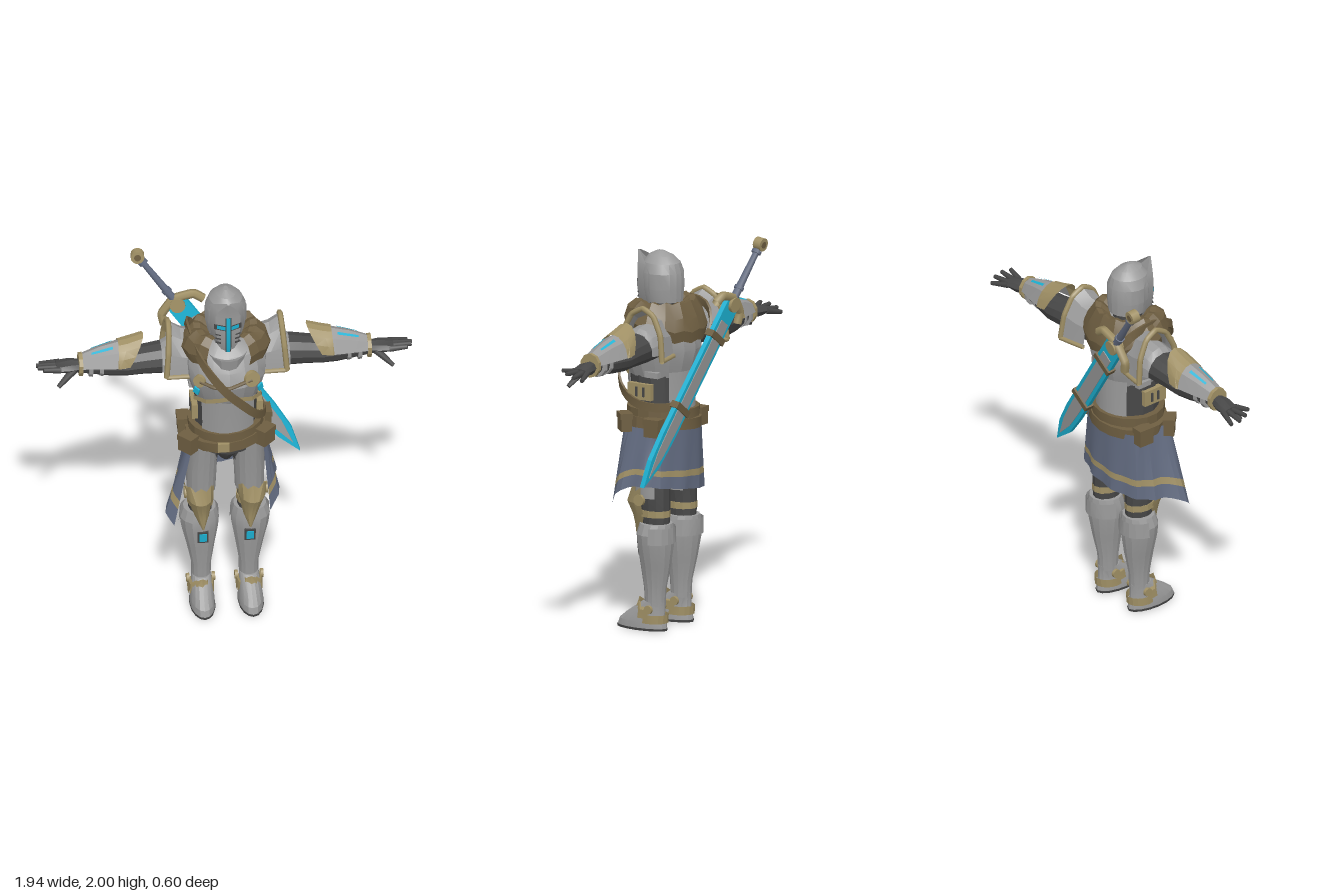
import * as THREE from 'three';
import { toCreasedNormals } from 'three/addons/utils/BufferGeometryUtils.js';

const paint = (name, color) => Object.assign(new THREE.MeshStandardMaterial({ color, side: THREE.DoubleSide }), { name });
const steel = paint('steel', 0x9a9a9a), dark = paint('darkSuit', 0x474747), gold = paint('gold', 0xa09065);
const leather = paint('leather', 0x6e5e41), cloth = paint('cloth', 0x626b80), glow = paint('glow', 0x1cb2d4);
const V = (x, y, z) => new THREE.Vector3(x, y, z);

function add(parent, name, mat, geo, pos = [0, 0, 0], rot = [0, 0, 0]) {
  const m = new THREE.Mesh(geo, mat);
  m.name = name;
  m.position.set(...pos);
  m.rotation.set(...rot);
  parent.add(m);
  return m;
}
const box = (g, name, mat, size, pos, rot) => add(g, name, mat, new THREE.BoxGeometry(...size), pos, rot);

// Skin a surface over rows of points, closing the two ends if asked
function loft(rows, cap = false) {
  const n = rows[0].length, pts = rows.flat(), idx = [];
  for (let i = 0; i < rows.length - 1; i++) for (let j = 0; j < n - 1; j++) {
    const a = i * n + j, b = a + n;
    idx.push(a, a + 1, b, a + 1, b + 1, b);
  }
  if (cap) for (const i of [0, rows.length - 1]) {
    for (let j = 1; j < n - 2; j++) idx.push(i * n, i * n + j + 1, i * n + j);
  }
  const geo = new THREE.BufferGeometry().setFromPoints(pts);
  geo.setIndex(idx);
  return toCreasedNormals(geo, 0.35);
}

// Ellipse row: [position on axis, centre, centre, radius, radius]; angle 0 is front (y axis) or top (x axis)
function ring(axis, [t, a, b, ra, rb], seg, from, to) {
  return Array.from({ length: seg + 1 }, (_, i) => {
    const f = from + (to - from) * i / seg;
    return axis === 'y' ? V(a + ra * Math.sin(f), t, b + rb * Math.cos(f)) : V(t, a + ra * Math.cos(f), b + rb * Math.sin(f));
  });
}
function body(g, name, mat, axis, rows, seg = 14, from = 0, to = 2 * Math.PI) {
  const full = to - from > 6.28;
  return add(g, name, mat, loft(rows.map(r => ring(axis, r, seg, from, to)), full));
}
function rod(g, name, mat, a, b, r1, r2 = r1, seg = 7) {
  const p = V(...a), q = V(...b), d = q.clone().sub(p);
  const m = add(g, name, mat, new THREE.CylinderGeometry(r2, r1, d.length(), seg), p.clone().add(q).multiplyScalar(0.5).toArray());
  m.quaternion.setFromUnitVectors(V(0, 1, 0), d.normalize());
}
// Tube through points, with tight corners
const tube = (g, name, mat, pts, r, n = 30) =>
  add(g, name, mat, new THREE.TubeGeometry(new THREE.CatmullRomCurve3(pts, false, 'catmullrom', 0.15), n, r, 6));
const disc = (g, name, mat, r, h, pos, rot) => add(g, name, mat, new THREE.CylinderGeometry(r, r, h, 14), pos, rot);

function head(g) {
  body(g, 'neck', dark, 'y', [[1.56, 0, 0.04, 0.08, 0.08], [1.75, 0, 0.05, 0.075, 0.08]]);
  body(g, 'helmetDome', steel, 'y', [[1.71, 0, 0.04, 0.095, 0.1], [1.78, 0, 0.045, 0.107, 0.11], [1.86, 0, 0.048, 0.106, 0.112],
    [1.91, 0, 0.053, 0.086, 0.1], [1.945, 0, 0.058, 0.053, 0.068], [1.968, 0, 0.06, 0.012, 0.02]], 18);
  const visorRow = ([y, w, zs, zf]) => [-1, -0.6, 0, 0.6, 1].map(k => V(k * w, y, k ? (Math.abs(k) === 1 ? zs : zs + 0.78 * (zf - zs)) : zf));
  add(g, 'visor', steel, loft([[1.62, 0.03, 0.11, 0.165], [1.68, 0.08, 0.07, 0.183], [1.78, 0.108, 0.06, 0.192],
    [1.86, 0.108, 0.06, 0.19], [1.9, 0.08, 0.1, 0.19], [1.955, 0.008, 0.185, 0.198]].map(visorRow)));
  // Cross slit following the visor's keel, with a dark border
  for (const [name, mat, e, o] of [['crossBorder', dark, 0.005, -0.002], ['crossSlit', glow, 0, 0]]) {
    add(g, name, mat, loft([1.79 - e, 1.812 + e].map(y => [V(-0.066 - e, y, 0.163 + o), V(0, y, 0.196 + o), V(0.066 + e, y, 0.163 + o)])));
    add(g, name, mat, loft([[1.645, 0.177], [1.68, 0.187], [1.78, 0.196], [1.87, 0.194]].map(([y, z]) =>
      [V(-0.01 - e, y, z - 0.002 + o), V(0, y, z + o), V(0.01 + e, y, z - 0.002 + o)])));
  }
  // Breathing slots low on the cheeks
  for (const s of [-1, 1]) for (const y of [1.7, 1.725, 1.75])
    box(g, 'breathSlot', dark, [0.03, 0.007, 0.006], [s * 0.05, y, 0.164], [0, s * 0.45, 0]);
}

function torso(g) {
  body(g, 'waistSuit', dark, 'y', [[1.0, 0, 0.04, 0.165, 0.14], [1.15, 0, 0.045, 0.165, 0.155], [1.36, 0, 0.055, 0.165, 0.165]]);
  body(g, 'breastplate', steel, 'y', [[1.33, 0, 0.055, 0.165, 0.165], [1.39, 0, 0.06, 0.185, 0.19], [1.47, 0, 0.06, 0.208, 0.212],
    [1.55, 0, 0.05, 0.215, 0.195], [1.62, 0, 0.04, 0.2, 0.16], [1.67, 0, 0.04, 0.1, 0.1]], 16);
  const belly = [[1.06, 0, 0.045, 0.172, 0.17], [1.2, 0, 0.05, 0.168, 0.17], [1.36, 0, 0.055, 0.175, 0.178]];
  body(g, 'bellyPlate', steel, 'y', belly, 6, -0.9, 0.9);
  body(g, 'backPlate', steel, 'y', belly, 5, Math.PI - 0.8, Math.PI + 0.8);
  body(g, 'gorget', steel, 'y', [[1.54, 0, 0.07, 0.1, 0.16], [1.63, 0, 0.06, 0.12, 0.185], [1.6, 0, 0.06, 0.08, 0.11]], 6, -1.1, 1.1);
  body(g, 'pelvis', dark, 'y', [[0.91, 0, 0.04, 0.035, 0.06], [0.97, 0, 0.04, 0.08, 0.11], [1.07, 0, 0.04, 0.16, 0.14]]);
  for (const s of [-1, 1]) {
    add(g, 'breastTrim', gold, loft([0, 0.026].map(h => [V(s * 0.176, 1.335 + h, 0.14), V(s * 0.12, 1.355 + h, 0.215),
      V(s * 0.06, 1.375 + h, 0.245), V(0, 1.395 + h, 0.262)])));
    box(g, 'chestLight', glow, [0.034, 0.036, 0.009], [s * 0.165, 1.42, 0.185], [0, s * 0.8, s * 0.3]);
    box(g, 'waistPlate', gold, [0.03, 0.085, 0.14], [s * 0.168, 1.255, 0.075]);
    for (const z of [0.05, 0.09]) box(g, 'waistSlot', dark, [0.008, 0.05, 0.012], [s * 0.184, 1.255, z]);
    box(g, 'ribPlate', steel, [0.03, 0.03, 0.08], [s * 0.172, 1.35, 0.0]);
  }
  disc(g, 'chestRoundel', gold, 0.042, 0.03, [0.115, 1.51, 0.235], [1.4, 0, -0.35]);
  disc(g, 'smallRoundel', gold, 0.032, 0.03, [-0.15, 1.5, 0.21], [1.4, 0, 0.5]);
  tube(g, 'chestCord', leather, [V(-0.15, 1.5, 0.22), V(-0.08, 1.485, 0.262), V(0, 1.485, 0.277), V(0.115, 1.51, 0.245)], 0.01);

  // Hood folded down round the neck, lower behind
  const hood = [[1.55, 0.22, 0.195], [1.61, 0.238, 0.205], [1.67, 0.21, 0.19], [1.72, 0.165, 0.15], [1.715, 0.13, 0.125], [1.68, 0.085, 0.08]];
  add(g, 'hood', leather, loft(hood.map(([y, rx, rz], k) => ring('y', [y, 0, 0.03, rx, rz], 22, 0.5, 2 * Math.PI - 0.5)
    .map((p, i) => V(p.x, p.y + (k < 3 ? 0.04 * Math.min(p.z / 0.2, 0.5) : 0) + (i % 2 ? 0.008 : -0.004), p.z)))));

  // Baldric across the chest and over the back
  const path = new THREE.CatmullRomCurve3([[-0.18, 1.69, 0.04], [-0.14, 1.62, 0.2], [-0.04, 1.49, 0.28], [0.07, 1.36, 0.262], [0.15, 1.25, 0.19],
    [0.195, 1.19, 0.05], [0.13, 1.2, -0.12], [0, 1.34, -0.15], [-0.1, 1.52, -0.165], [-0.18, 1.66, -0.1]].map(p => V(...p)), true);
  add(g, 'baldric', leather, loft(Array.from({ length: 41 }, (_, i) => {
    const p = path.getPointAt(i / 40), out = V(p.x, 0, p.z - 0.05).normalize();
    const side = path.getTangentAt(i / 40).cross(out).normalize().multiplyScalar(0.022);
    const top = p.clone().addScaledVector(out, 0.012);
    return [p.clone().sub(side), top.clone().sub(side), top.clone().add(side), p.clone().add(side), p.clone().sub(side)];
  })));
}

function arm(g) {
  body(g, 'armSuit', dark, 'x', [[0.17, 1.53, 0, 0.085, 0.1], [0.3, 1.52, 0, 0.085, 0.095], [0.42, 1.51, 0, 0.075, 0.085], [0.5, 1.5, 0, 0.07, 0.08],
    [0.58, 1.5, 0.005, 0.067, 0.066], [0.68, 1.5, 0.01, 0.047, 0.05], [0.75, 1.5, 0.01, 0.035, 0.04]], 12);
  // Flared pauldron with a gold rim
  const rows = [[0.16, 1.47, 0, 0.2, 0.12], [0.23, 1.47, -0.008, 0.215, 0.125], [0.29, 1.47, -0.015, 0.255, 0.13]]
    .map(r => ring('x', r, 6, -1.6, 1.6).map(p => V(p.x + (r[0] > 0.25 ? 0.02 * (1.72 - p.y) / 0.25 : 0), p.y, p.z)));
  add(g, 'pauldron', steel, loft(rows));
  tube(g, 'pauldronRim', gold, rows[2], 0.015);
  for (const i of [0, 6]) tube(g, 'pauldronHem', gold, rows.map(r => r[i]), 0.013, 6);
  body(g, 'shoulderCap', steel, 'x', [[0.2, 1.5, 0, 0.135, 0.11], [0.3, 1.5, 0, 0.12, 0.108], [0.33, 1.5, 0, 0.1, 0.1]], 8, -1.7, 1.7);
  // Bracer over the forearm
  const bracer = [[0.52, 1.5, 0, 0.135, 0.1], [0.64, 1.5, 0.005, 0.108, 0.08], [0.74, 1.5, 0.01, 0.07, 0.056]];
  body(g, 'bracer', steel, 'x', bracer, 4, -1.4, 1.4);
  for (const s of [-1, 1]) body(g, 'bracerLight', glow, 'x', [[0.58, 1.5, 0.002, 0.123, 0.092], [0.69, 1.5, 0.007, 0.091, 0.07]], 1, s * 0.36 - 0.085, s * 0.36 + 0.085);
  add(g, 'elbowCuff', gold, loft([[0.42, 0.172, 0.1, 0.09], [0.5, 0.145, 0.104, 0.06], [0.55, 0.134, 0.098, 0.01]].map(([x, ry, rz, slant]) =>
    ring('x', [x, 1.5, 0, ry, rz], 8, -1.4, 1.4).map(p => V(p.x + slant * (1 - (p.y - 1.5) / ry), p.y, p.z)))));
  body(g, 'wristRing', gold, 'x', [[0.735, 1.51, 0.01, 0.064, 0.058], [0.755, 1.51, 0.01, 0.064, 0.058]], 10);
  for (const x of [0.63, 0.685]) body(g, 'bracerStrap', steel, 'x', [[x, 1.5, 0.008, 0.062, 0.066], [x + 0.02, 1.5, 0.008, 0.058, 0.062]], 10);
  // Hand
  body(g, 'palm', dark, 'x', [[0.74, 1.5, 0.01, 0.032, 0.036], [0.8, 1.5, 0.005, 0.034, 0.05], [0.87, 1.497, 0, 0.02, 0.052]], 8);
  [[-0.038, 0.95, -0.066, 1.475], [-0.013, 0.97, -0.027, 1.49], [0.014, 0.965, 0.016, 1.505], [0.038, 0.94, 0.055, 1.515]]
    .forEach(([z, x, z2, y]) => rod(g, 'finger', dark, [0.85, 1.497, z], [x, y, z2], 0.017, 0.011, 6));
  rod(g, 'thumb', dark, [0.78, 1.49, 0.03], [0.865, 1.415, 0.07], 0.023, 0.012, 6);
}

function leg(g) {
  body(g, 'legSuit', dark, 'y', [[0.48, 0.125, 0.01, 0.06, 0.07], [0.62, 0.128, 0.01, 0.063, 0.08], [0.76, 0.125, 0.02, 0.07, 0.09], [1.02, 0.1, 0.03, 0.08, 0.11]], 12);
  body(g, 'thighPlate', steel, 'y', [[0.7, 0.125, 0.03, 0.075, 0.09], [0.85, 0.123, 0.035, 0.08, 0.1], [1.05, 0.117, 0.04, 0.08, 0.125]], 12, -2.3, 2.3);
  // Knee guard tapering to a point, with a crowned top edge
  add(g, 'kneeGuard', gold, loft([[0.735, 0.135, 0.04, 0.08, 0.1], [0.67, 0.135, 0.04, 0.074, 0.13], [0.6, 0.13, 0.04, 0.054, 0.1],
    [0.55, 0.125, 0.045, 0.04, 0.088], [0.49, 0.122, 0.08, 0.01, 0.05]].map((r, k) => ring('y', r, 8, -1.5, 1.5)
      .map((p, i) => V(p.x, p.y + (k || i % 2 ? 0 : 0.025), p.z)))));
  body(g, 'kneeStrap', gold, 'y', [[0.6, 0.127, 0.015, 0.068, 0.086], [0.635, 0.127, 0.015, 0.068, 0.086]], 12);
  disc(g, 'kneeRoundel', gold, 0.03, 0.02, [0.205, 0.69, 0.06], [0, 0, Math.PI / 2]);
  // Greave
  body(g, 'greave', steel, 'y', [[0.13, 0.123, 0.015, 0.05, 0.055], [0.22, 0.123, 0.015, 0.052, 0.06], [0.34, 0.126, 0.01, 0.074, 0.08],
    [0.45, 0.13, 0.008, 0.097, 0.094], [0.51, 0.132, 0.008, 0.102, 0.097], [0.565, 0.13, 0.005, 0.085, 0.085]], 14);
  body(g, 'calfBand', steel, 'y', [[0.465, 0.131, 0.005, 0.105, 0.102], [0.55, 0.131, 0.003, 0.1, 0.1]], 8, 1.7, 4.58);
  box(g, 'shinFrame', dark, [0.056, 0.07, 0.014], [0.122, 0.425, 0.098], [0.12, 0, 0]);
  box(g, 'shinLight', glow, [0.038, 0.05, 0.008], [0.122, 0.425, 0.105], [0.12, 0, 0]);
  // Boot
  body(g, 'sole', dark, 'y', [[0, 0.125, 0.092, 0.065, 0.147], [0.012, 0.125, 0.092, 0.067, 0.149]], 16);
  body(g, 'boot', steel, 'y', [[0.012, 0.125, 0.092, 0.064, 0.146], [0.045, 0.125, 0.088, 0.063, 0.138], [0.08, 0.125, 0.072, 0.057, 0.112], [0.15, 0.123, 0.02, 0.05, 0.062]], 16);
  body(g, 'heelBand', gold, 'y', [[0.04, 0.125, 0.025, 0.068, 0.08], [0.085, 0.125, 0.02, 0.067, 0.078]], 10, 1.2, 5.08);
  add(g, 'instepGuard', gold, loft([[0.065, 0.07, 0.13], [0.11, 0.067, 0.105], [0.165, 0.045, 0.09]].map(([y, rx, rz]) =>
    ring('y', [y, 0.125, 0.02, rx, rz], 6, -1.6, 1.6).map(p => V(p.x, p.y - (y > 0.15 ? Math.abs(p.x - 0.125) * 0.8 : 0), p.z)))));
  for (const s of [-1, 1]) disc(g, 'ankleRoundel', gold, 0.023, 0.016, [0.125 + s * 0.066, 0.115, 0.015], [0, 0, Math.PI / 2]);
}

function beltAndSkirt(g) {
  const belt = (name, y, h, rx, rz, tilt) => {
    const rows = [[-h, 0.02], [-h, 0], [h, 0], [h, 0.02]].map(([t, d]) => [t, 0, 0.045, rx - d, rz - d]);
    const m = body(g, name, leather, 'y', rows, 18);
    m.position.y = y;
    m.rotation.z = tilt;
  };
  belt('upperBelt', 1.135, 0.025, 0.195, 0.185, 0.03);
  belt('lowerBelt', 1.08, 0.028, 0.208, 0.192, 0.09);
  box(g, 'buckle', gold, [0.06, 0.05, 0.02], [-0.03, 1.085, 0.235]);
  for (const [x, y, z, r] of [[-0.205, 1.065, 0.15, -0.8], [0.195, 1.09, 0.155, 0.8], [0.212, 1.08, -0.03, 1.6], [-0.212, 1.07, -0.03, -1.6]]) {
    box(g, 'pouch', leather, [0.085, 0.09, 0.055], [x, y, z], [0, r, 0]);
    box(g, 'pouchFlap', leather, [0.093, 0.03, 0.065], [x, y + 0.035, z], [0, r, 0]);
  }
  // Pleated skirt, open in front, its hem lower on the right side and at the front corners
  const row = t => Array.from({ length: 37 }, (_, i) => {
    const f = 0.85 + (2 * Math.PI - 1.7) * i / 36, s = Math.sin(f), c = Math.cos(f), k = Math.max(0, c);
    const topX = Math.max(-0.195, Math.min(0.195, s * 0.24));
    const hemX = s * (s < 0 ? 0.26 + 0.2 * k : 0.262 + 0.05 * k);
    const topZ = c * (c > 0 ? 0.2 : 0.16), hemZ = c * (c > 0 ? 0.29 : 0.165);
    const fold = 1 + 0.04 * t * Math.cos(f * 11), hemY = 0.735 + 0.04 * s - 0.25 * k * k;
    return V((topX + (hemX - topX) * t) * fold, 1.07 + (hemY - 1.07) * t, 0.035 + (topZ + (hemZ - topZ) * t) * fold);
  });
  add(g, 'skirt', cloth, loft([0, 0.35, 0.7].map(row)));
  add(g, 'skirtStripe', gold, loft([0.7, 0.8].map(row)));
  add(g, 'skirtHem', cloth, loft([0.8, 1].map(row)));
}

// Sword slung across the back; local y runs from the tip to the pommel
function sword(g) {
  const blade = (w, l, tip, d) => {
    const s = new THREE.Shape([[0, tip], [w * 0.8, tip + 0.14], [w, tip + 0.3], [w, l], [-w, l], [-w, tip + 0.3], [-w * 0.8, tip + 0.14]]
      .map(p => new THREE.Vector2(...p)));
    return new THREE.ExtrudeGeometry(s, { depth: d, bevelEnabled: false }).translate(0, 0, -d / 2);
  };
  add(g, 'bladeEdge', glow, blade(0.056, 1.08, 0, 0.026));
  add(g, 'bladeCore', steel, blade(0.035, 0.97, 0.06, 0.034));
  for (const y of [0.46, 0.88]) box(g, 'scabbardBand', leather, [0.13, 0.035, 0.048], [0, y, 0]);
  tube(g, 'guard', gold, [[-0.125, 1.02], [-0.1, 1.075], [0, 1.11], [0.1, 1.075], [0.125, 1.02]].map(([x, y]) => V(x, y, 0)), 0.024);
  disc(g, 'guardBoss', gold, 0.04, 0.06, [0, 1.075, 0], [Math.PI / 2, 0, 0]);
  rod(g, 'grip', cloth, [0, 1.1, 0], [0, 1.4, 0], 0.022, 0.015, 8);
  for (const y of [1.16, 1.37]) rod(g, 'gripRing', cloth, [0, y, 0], [0, y + 0.018, 0], 0.026, 0.026, 8);
  disc(g, 'pommel', gold, 0.035, 0.045, [0, 1.425, 0], [Math.PI / 2, 0, 0]);
  disc(g, 'pommelInset', leather, 0.018, 0.05, [0, 1.425, 0], [Math.PI / 2, 0, 0]);
  const up = V(-0.825, 1.16, -0.2).normalize(), back = V(0, 0, -1).addScaledVector(up, up.z).normalize();
  g.quaternion.setFromRotationMatrix(new THREE.Matrix4().makeBasis(up.clone().cross(back), up, back));
  g.position.set(0.4, 0.81, -0.08);
}

export function createModel() {
  const model = new THREE.Group();
  model.name = 'knight';
  const part = (name, build, mirror = 1) => {
    const g = new THREE.Group();
    g.name = name;
    build(g);
    g.scale.x = mirror;
    model.add(g);
  };
  part('head', head);
  part('torso', torso);
  part('beltAndSkirt', beltAndSkirt);
  part('sword', sword);
  for (const [side, s] of [['left', 1], ['right', -1]]) {
    part(side + 'Arm', arm, s);
    part(side + 'Leg', leg, s);
  }
  return model;
}
